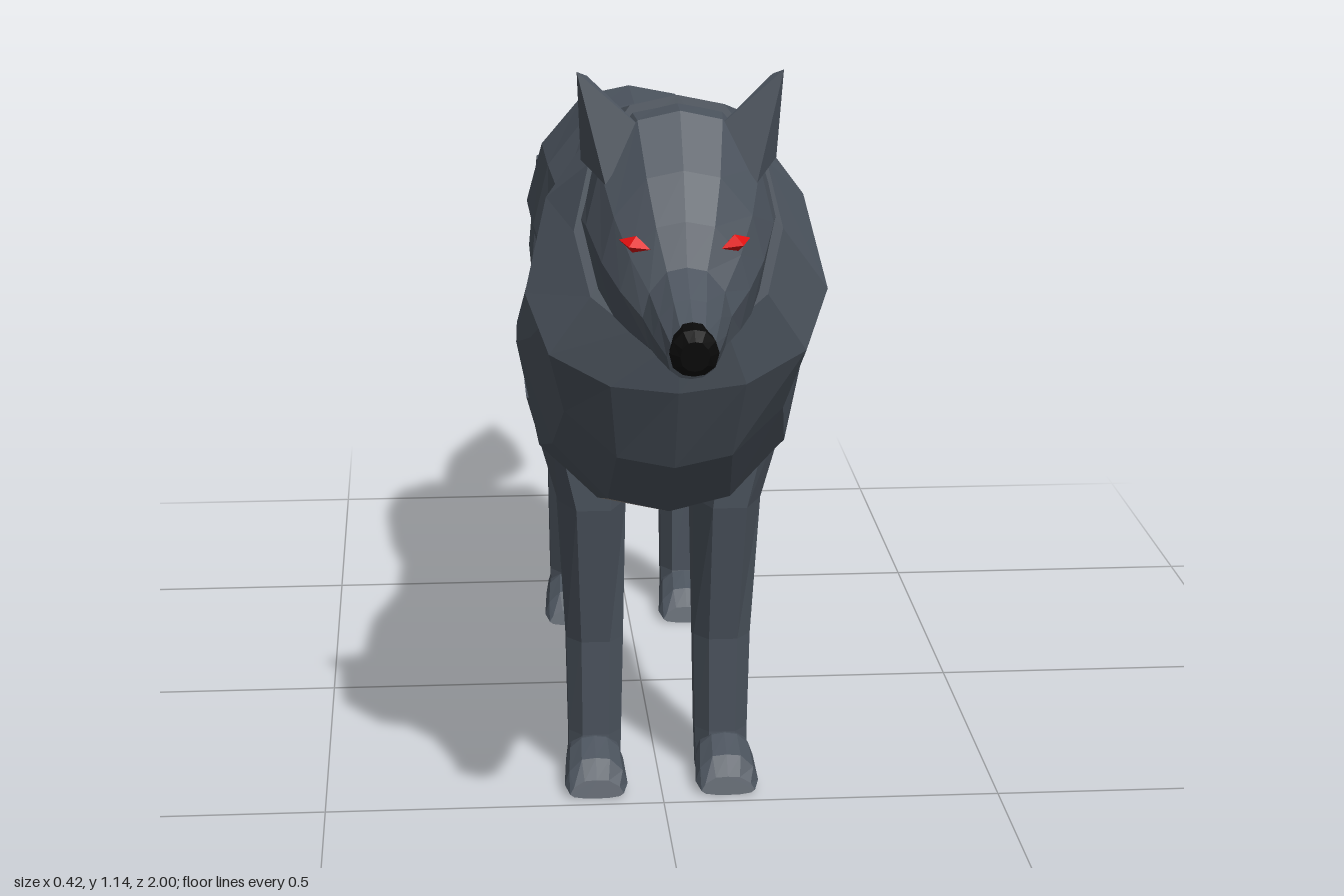
import * as THREE from 'three';
import { ConvexGeometry } from 'three/addons/geometries/ConvexGeometry.js';

const material = (color) => new THREE.MeshStandardMaterial({ color, flatShading: true });
const coat = material(0x4b535d);
const pale = material(0x98938d);
const black = material(0x0a0a0a);
const red = material(0xe01010);

const V = (x, y, z) => new THREE.Vector3(x, y, z);
const lerp = THREE.MathUtils.lerp;

// Skins a row of closed rings; only the chosen columns, with optional end caps
function skin(rings, { columns, caps = true } = {}) {
  const n = rings[0].length;
  const cols = columns || [...Array(n).keys()];
  const out = [];
  const tri = (...pts) => pts.forEach((p) => out.push(p.x, p.y, p.z));
  for (let i = 0; i < rings.length - 1; i++) {
    for (const j of cols) {
      const k = (j + 1) % n;
      const a = rings[i][j], b = rings[i + 1][j], c = rings[i + 1][k], d = rings[i][k];
      tri(a, b, d);
      tri(b, c, d);
    }
  }
  if (caps) {
    const first = rings[0], last = rings[rings.length - 1];
    for (let j = 1; j < n - 1; j++) {
      tri(first[0], first[j], first[j + 1]);
      tri(last[0], last[j + 1], last[j]);
    }
  }
  const geometry = new THREE.BufferGeometry();
  geometry.setAttribute('position', new THREE.Float32BufferAttribute(out, 3));
  geometry.computeVertexNormals();
  return geometry;
}

// Symmetric 12-point ring from a top point, a bottom point, a half width and the height of the widest point
function bodyRing([zt, yt, zb, yb, w, tm = 0.5], cx = 0) {
  const low = 1 - tm;
  const half = [[0, 0], [0.04, 0.45], [0.5 * tm, 0.85], [tm, 1], [tm + 0.6 * low, 0.85], [tm + 0.92 * low, 0.45], [1, 0]];
  const point = ([t, f], s) => V(cx + s * f * w, lerp(yt, yb, t), lerp(zt, zb, t));
  return [...half.map((p) => point(p, 1)), ...half.slice(1, 6).reverse().map((p) => point(p, -1))];
}

// Eight-sided leg ring with cut corners
function legRing([y, zFront, zBack, xIn, xOut], s) {
  const cx = (xIn + xOut) / 2, cz = (zFront + zBack) / 2;
  const rx = (xOut - xIn) / 2, rz = (zFront - zBack) / 2;
  const ring = [[0.5, -1], [1, -0.5], [1, 0.4], [0.5, 1], [-0.5, 1], [-1, 0.4], [-1, -0.5], [-0.5, -1]]
    .map(([u, v]) => V(s * (cx + u * rx), y, cz + v * rz));
  return s > 0 ? ring : ring.reverse();
}

export function createModel() {
  const model = new THREE.Group();
  model.name = 'wolf';
  const add = (name, geometry, mat) => {
    const mesh = new THREE.Mesh(geometry, mat);
    mesh.name = name;
    model.add(mesh);
    return mesh;
  };

  // Torso from rump to chest, with a pale belly strip
  const torso = [
    [-0.445, 0.86, -0.41, 0.69, 0.075],
    [-0.41, 0.9, -0.37, 0.6, 0.135],
    [-0.29, 0.935, -0.3, 0.55, 0.17],
    [-0.155, 0.93, -0.12, 0.54, 0.165],
    [0, 0.908, 0, 0.5, 0.147],
    [0.13, 0.89, 0.16, 0.45, 0.165],
    [0.3, 0.92, 0.3, 0.455, 0.205],
    [0.43, 0.95, 0.45, 0.44, 0.21],
    [0.51, 1.0, 0.58, 0.48, 0.193, 0.52],
  ].map((s) => bodyRing(s));
  add('torso', skin(torso, { columns: [0, 1, 2, 3, 4, 7, 8, 9, 10, 11] }), coat);
  add('belly', skin(torso, { columns: [5, 6], caps: false }), pale);

  // Neck with the flared ruff
  add('neckRuff', skin([
    [0.51, 1.0, 0.58, 0.48, 0.193, 0.52],
    [0.57, 1.045, 0.68, 0.575, 0.178, 0.58],
    [0.63, 1.08, 0.745, 0.7, 0.205, 0.65],
    [0.7, 1.1, 0.76, 0.78, 0.14, 0.55],
  ].map((s) => bodyRing(s))), coat);

  // Skull narrowing to the brow
  add('head', skin([
    [0.66, 1.09, 0.7, 0.8, 0.14],
    [0.75, 1.088, 0.76, 0.785, 0.125],
    [0.81, 1.02, 0.8, 0.775, 0.107],
    [0.845, 0.96, 0.84, 0.775, 0.085],
    [0.87, 0.905, 0.88, 0.775, 0.058],
  ].map((s) => bodyRing(s))), coat);

  // Muzzle, pale along the lips and chin
  const muzzle = [
    [0.87, 0.905, 0.88, 0.775, 0.058],
    [0.92, 0.875, 0.91, 0.775, 0.047],
    [0.975, 0.845, 0.94, 0.775, 0.033],
  ].map((s) => bodyRing(s));
  add('muzzle', skin(muzzle, { columns: [0, 1, 2, 3, 8, 9, 10, 11] }), coat);
  add('lowerJaw', skin(muzzle, { columns: [4, 5, 6, 7], caps: false }), pale);

  add('nose', skin([
    [0.955, 0.855, 0.945, 0.79, 0.028],
    [0.985, 0.852, 0.982, 0.79, 0.032],
    [1.0, 0.84, 0.995, 0.8, 0.019],
  ].map((s) => bodyRing(s))), black);

  // Tail, tip to root, with a pale underside near the root
  const tail = [
    [-1, 0.627, -1, 0.62, 0.003],
    [-0.865, 0.695, -0.865, 0.588, 0.045],
    [-0.73, 0.755, -0.73, 0.595, 0.069],
    [-0.61, 0.805, -0.61, 0.65, 0.062],
    [-0.5, 0.85, -0.49, 0.745, 0.045],
    [-0.4, 0.89, -0.41, 0.8, 0.035],
  ].map((s) => bodyRing(s));
  add('tail', skin(tail.slice(0, 4)), coat);
  add('tailRoot', skin(tail.slice(3), { columns: [0, 1, 2, 3, 4, 7, 8, 9, 10, 11] }), coat);
  add('tailUnderside', skin(tail.slice(3), { columns: [5, 6], caps: false }), pale);

  for (const s of [1, -1]) {
    const side = s > 0 ? 'left' : 'right';

    // Front leg and shoulder
    add(side + 'FrontLeg', skin([
      [0.0, 0.405, 0.33, 0.058, 0.135],
      [0.07, 0.4, 0.32, 0.056, 0.135],
      [0.22, 0.405, 0.317, 0.053, 0.138],
      [0.44, 0.45, 0.27, 0.05, 0.15],
      [0.6, 0.46, 0.25, 0.06, 0.195],
    ].map((r) => legRing(r, s))), coat);

    // Hind leg and thigh
    add(side + 'HindLeg', skin([
      [0.0, -0.32, -0.385, 0.06, 0.13],
      [0.07, -0.34, -0.428, 0.06, 0.132],
      [0.28, -0.338, -0.432, 0.058, 0.135],
      [0.42, -0.205, -0.39, 0.055, 0.145],
      [0.53, -0.085, -0.352, 0.05, 0.155],
      [0.66, -0.085, -0.405, 0.045, 0.166],
      [0.8, -0.18, -0.45, 0.03, 0.15],
    ].map((r) => legRing(r, s))), coat);

    // Paws
    for (const [name, z] of [['FrontPaw', 0], ['HindPaw', -0.745]]) {
      add(side + name, skin([
        [0.325 , 0.065, 0.335, 0, 0.036],
        [0.405, 0.07, 0.41, 0, 0.043],
        [0.447, 0.052, 0.455, 0, 0.047, 0.75],
        [0.468, 0.025, 0.478, 0, 0.04, 0.75],
      ].map(([zt, yt, zb, ...rest]) => bodyRing([zt + z, yt, zb + z, ...rest], s * 0.098))), coat);
    }

    // Ear
    add(side + 'Ear', new ConvexGeometry([
      V(s * 0.136, 1.142, 0.755), V(s * 0.13, 1.02, 0.73), V(s * 0.05, 1.065, 0.75),
      V(s * 0.085, 1.065, 0.66), V(s * 0.1, 0.995, 0.775), V(s * 0.122, 1.135, 0.745),
    ]), coat);

    // Eye
    const eye = add(side + 'Eye', new THREE.OctahedronGeometry(1), red);
    eye.scale.set(0.023, 0.012, 0.018);
    eye.position.set(s * 0.066, 0.93, 0.842);
    eye.rotation.set(0, s * 0.5, s * 0.2);
  }
  return model;
}
